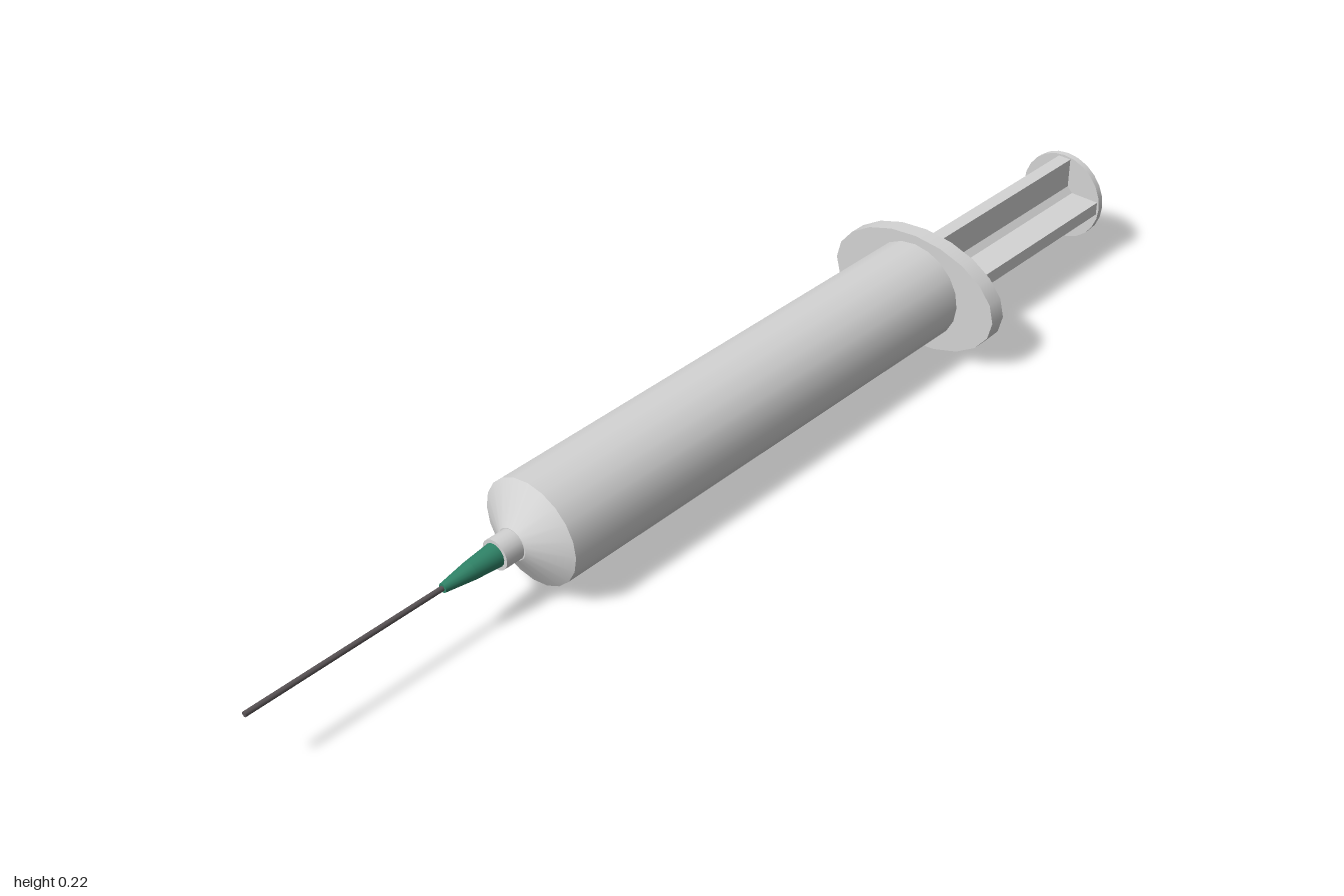
import * as THREE from 'three';

const AXIS = 0.112; // height of the long axis

export function createModel() {
  const model = new THREE.Group();
  const plastic = new THREE.MeshStandardMaterial({ color: 0xd4d4d4 });
  plastic.name = 'pale grey plastic';
  const green = new THREE.MeshStandardMaterial({ color: 0x2f8468 });
  green.name = 'green plastic';
  const steel = new THREE.MeshStandardMaterial({ color: 0x5c5658 });
  steel.name = 'dark steel';

  const add = (name, geometry, material) => {
    const mesh = new THREE.Mesh(geometry, material);
    mesh.name = name;
    mesh.position.y = AXIS;
    model.add(mesh);
    return mesh;
  };

  // Capped round section along z, from the back (z0, r0) to the front (z1, r1)
  const section = (name, z0, z1, r0, r1, material, sides = 20, sx = 1) => {
    const g = new THREE.CylinderGeometry(r1, r0, z1 - z0, sides);
    g.rotateX(Math.PI / 2);
    g.scale(sx, 1, 1);
    g.translate(0, 0, (z0 + z1) / 2);
    return add(name, g, material);
  };

  // Barrel, shoulder and nozzle
  section('barrel', -0.52, 0.447, 0.094, 0.094, plastic, 20, 1.05);
  section('shoulder', 0.447, 0.487, 0.094, 0.028, plastic, 20, 1.05);
  section('nozzle', 0.48, 0.523, 0.027, 0.027, plastic);

  // Oval finger flange
  section('fingerFlange', -0.548, -0.516, 0.111, 0.111, plastic, 20, 1.6);

  // Needle hub and needle
  section('needleHub', 0.52, 0.575, 0.021, 0.016, green, 16);
  section('needleHubTip', 0.575, 0.63, 0.016, 0.008, green, 16);
  section('needle', 0.62, 1, 0.0045, 0.0045, steel, 8);

  // Plunger rod: cross section with chamfered inner corners
  const reach = 0.082, half = 0.013, core = 0.024;
  const arm = [[reach, -half], [reach, half], [core, half], [half, core]];
  const points = [];
  for (let i = 0; i < 4; i++) {
    const c = [1, 0, -1, 0][i], s = [0, 1, 0, -1][i];
    for (const [x, y] of arm) points.push(new THREE.Vector2(x * c - y * s, x * s + y * c));
  }
  const rod = new THREE.ExtrudeGeometry(new THREE.Shape(points), { depth: 0.475, bevelEnabled: false });
  rod.translate(0, 0, -0.995);
  add('plungerRod', rod, plastic);

  // Thumb rest
  section('thumbRest', -1, -0.988, 0.087, 0.087, plastic, 24);

  return model;
}
